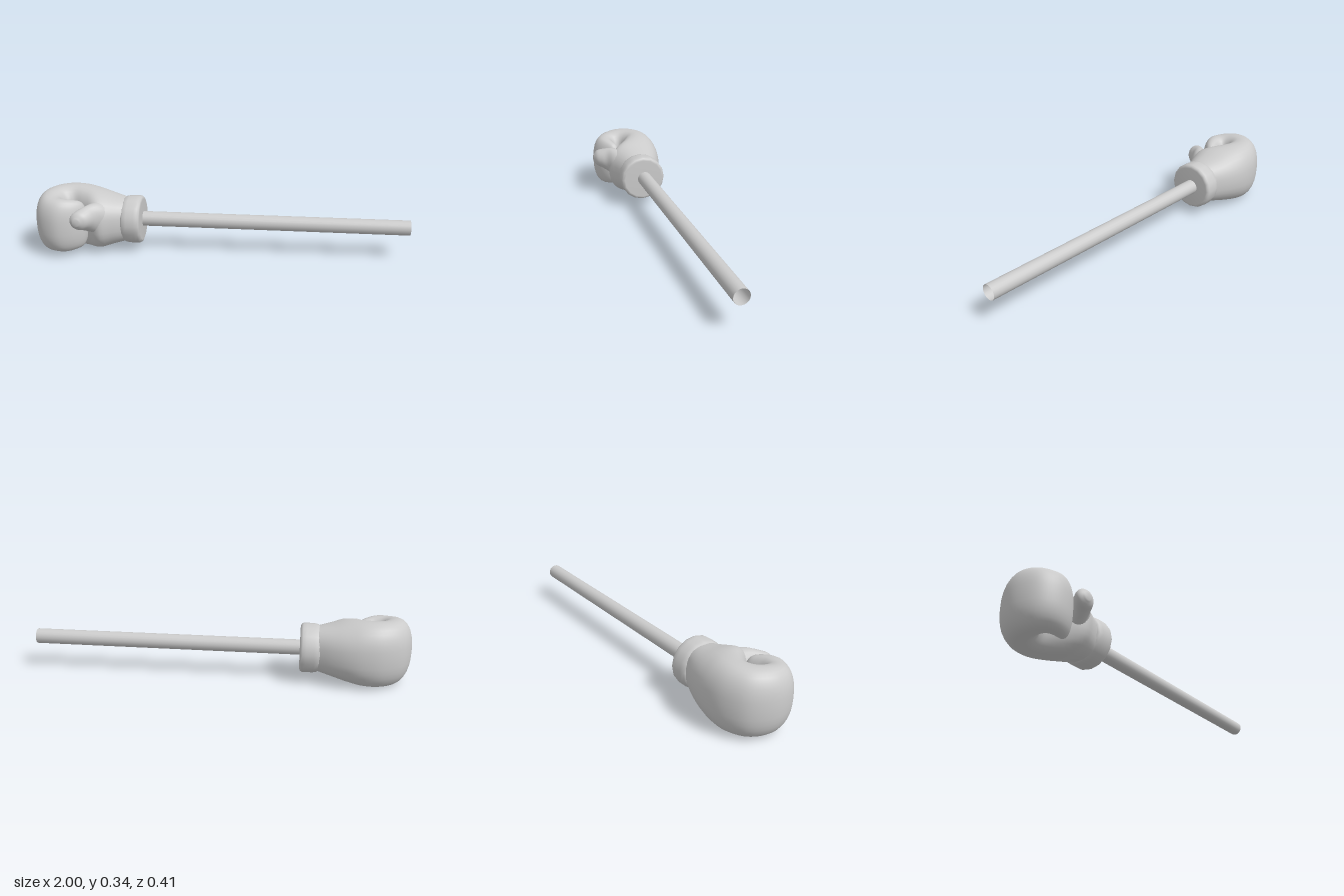
import * as THREE from 'three';

const material = new THREE.MeshStandardMaterial({ color: 0xcccccc, side: THREE.DoubleSide });

// Lofts a smooth skin through rows of [outer x, outer z, inner x, inner z, half height, centre y].
function loft(rows, steps, sides, power) {
  const outer = new THREE.CatmullRomCurve3(rows.map(r => new THREE.Vector3(r[0], r[4], r[1])), false, 'catmullrom');
  const inner = new THREE.CatmullRomCurve3(rows.map(r => new THREE.Vector3(r[2], r[5], r[3])), false, 'catmullrom');
  const round = c => Math.sign(c) * Math.abs(c) ** (2 / power);
  const positions = [], index = [];
  for (let i = 0; i <= steps + 1; i++) {
    const t = Math.min(i / steps, 1);
    const a = outer.getPoint(t), b = inner.getPoint(t);
    const size = i > steps ? 0 : 1; // the last ring closes the tip
    for (let j = 0; j < sides; j++) {
      const angle = j / sides * Math.PI * 2;
      const u = round(Math.cos(angle)) * size / 2, v = round(Math.sin(angle)) * size;
      positions.push(
        (a.x + b.x) / 2 + (a.x - b.x) * u,
        b.y + a.y * v,
        (a.z + b.z) / 2 + (a.z - b.z) * u);
      if (i <= steps) {
        const p = i * sides + j, q = i * sides + (j + 1) % sides;
        index.push(p, p + sides, q, q, p + sides, q + sides);
      }
    }
  }
  const geometry = new THREE.BufferGeometry();
  geometry.setAttribute('position', new THREE.Float32BufferAttribute(positions, 3));
  geometry.setIndex(index);
  geometry.computeVertexNormals();
  return geometry;
}

export function createModel() {
  const model = new THREE.Group();
  const add = (name, geometry) => {
    const mesh = new THREE.Mesh(geometry, material);
    mesh.name = name;
    model.add(mesh);
    return mesh;
  };

  // Padded hand: wrist, knuckles, then fingers curling back to the palm
  const cy = 0.172;
  add('gloveHand', loft([
    [-0.51, -0.135, -0.51, 0.075, 0.115, cy],
    [-0.59, -0.172, -0.58, 0.105, 0.135, cy],
    [-0.67, -0.197, -0.65, 0.125, 0.157, cy],
    [-0.75, -0.205, -0.725, 0.06, 0.168, cy],
    [-0.84, -0.192, -0.775, 0.02, 0.171, cy],
    [-0.93, -0.145, -0.80, 0.014, 0.17, cy],
    [-0.98, -0.075, -0.815, 0.018, 0.168, cy],
    [-1.00, 0.01, -0.82, 0.025, 0.164, cy],
    [-0.98, 0.095, -0.82, 0.034, 0.156, cy],
    [-0.93, 0.15, -0.812, 0.04, 0.149, cy],
    [-0.855, 0.176, -0.795, 0.041, 0.146, cy],
    [-0.78, 0.153, -0.775, 0.037, 0.138, cy],
    [-0.725, 0.105, -0.745, 0.033, 0.12, cy],
    [-0.708, 0.06, -0.722, 0.033, 0.07, cy],
  ], 52, 32, 2.4));

  // Thumb rising from the palm and resting beside the fingers
  add('thumb', loft([
    [-0.70, 0.00, -0.55, 0.05, 0.09, 0.20],
    [-0.72, 0.07, -0.60, 0.105, 0.085, 0.212],
    [-0.74, 0.115, -0.64, 0.135, 0.07, 0.222],
    [-0.765, 0.15, -0.66, 0.165, 0.056, 0.226],
    [-0.772, 0.178, -0.682, 0.19, 0.044, 0.226],
    [-0.75, 0.202, -0.715, 0.205, 0.018, 0.225],
  ], 22, 24, 2));

  // Rounded cuff around the wrist
  const profile = [
    [0, -0.053], [0.10, -0.053], [0.115, -0.05], [0.124, -0.04], [0.129, -0.02],
    [0.13, 0.02], [0.129, 0.038], [0.124, 0.048], [0.112, 0.053], [0, 0.053],
  ].map(p => new THREE.Vector2(...p));
  const cuff = add('cuff', new THREE.LatheGeometry(profile, 16));
  cuff.rotation.z = -Math.PI / 2;
  cuff.position.set(-0.478, cy, -0.029);

  // Long hollow handle
  const shaft = add('shaft', new THREE.CylinderGeometry(0.04, 0.04, 1.44, 20, 1, true));
  shaft.rotation.z = -Math.PI / 2;
  shaft.position.set(0.28, 0.174, -0.035);

  return model;
}
